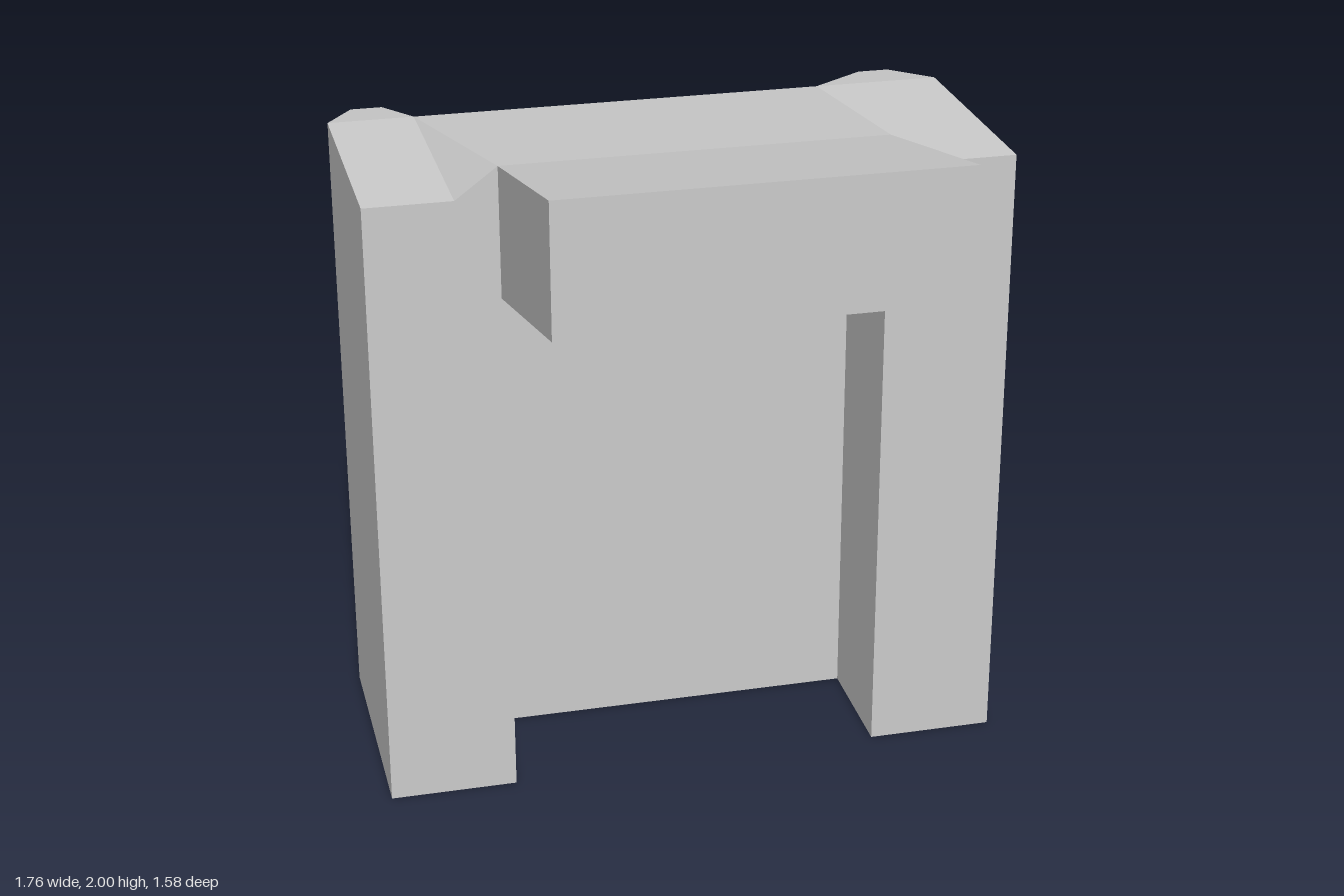
import * as THREE from 'three';
import { ConvexGeometry } from 'three/addons/geometries/ConvexGeometry.js';

const INNER = 0.525, OUTER = 0.88, BACK = -0.61, FRONT = 0.09, TOP = 1.76;

export function createModel() {
  const model = new THREE.Group();
  model.name = 'hoodedFrame';
  const material = new THREE.MeshStandardMaterial({ color: 0xcccccc, flatShading: true });

  const add = (name, geometry) => {
    const mesh = new THREE.Mesh(geometry, material);
    mesh.name = name;
    model.add(mesh);
    return mesh;
  };
  const hull = (points) => new ConvexGeometry(points.map((p) => new THREE.Vector3(...p)));

  // Back panel and projecting hood: one side profile (z, y) swept across x
  const profile = new THREE.Shape([
    [0.79, 1.645], [0.79, 2], [FRONT, 1.845], [BACK, TOP],
    [BACK, 0], [-0.26, 0], [-0.26, 1.4], [FRONT, 1.48],
  ].map(([z, y]) => new THREE.Vector2(z, y)));
  const body = new THREE.ExtrudeGeometry(profile, { depth: 2 * INNER, bevelEnabled: false });
  body.rotateY(-Math.PI / 2).translate(INNER, 0, 0);
  add('backPanelAndHood', body);

  // Foot that narrows from a four-cornered base to an octagonal end
  const foot = (side, low, high, topInner) => {
    const points = [
      [side * INNER, low, BACK], [side * OUTER, low, BACK],
      [side * OUTER, high, BACK], [side * topInner, high, BACK],
    ];
    for (let i = 0; i < 8; i++) {
      const a = Math.PI / 8 + (i * Math.PI) / 4;
      points.push([side * 0.75 + 0.116 * Math.cos(a), (low + high) / 2 + 0.008 + 0.116 * Math.sin(a), -0.79]);
    }
    return hull(points);
  };

  // Side posts with an upper and a lower foot each
  for (const [side, label] of [[1, 'left'], [-1, 'right']]) {
    const post = add(label + 'Post', new THREE.BoxGeometry(OUTER - INNER, TOP, FRONT - BACK));
    post.position.set(side * (INNER + OUTER) / 2, TOP / 2, (FRONT + BACK) / 2);
    add(label + 'LowerFoot', foot(side, 0, 0.245, INNER));
    add(label + 'UpperFoot', foot(side, 1.48, TOP, side < 0 ? 0.64 : INNER));
  }

  // Sloping fillet between the hood and the right post
  add('rightHoodFillet', hull([
    [-0.64, TOP, BACK], [-INNER, TOP, BACK], [-0.64, TOP, FRONT],
    [-INNER, TOP, FRONT], [-INNER, 1.845, FRONT],
  ]));

  return model;
}
